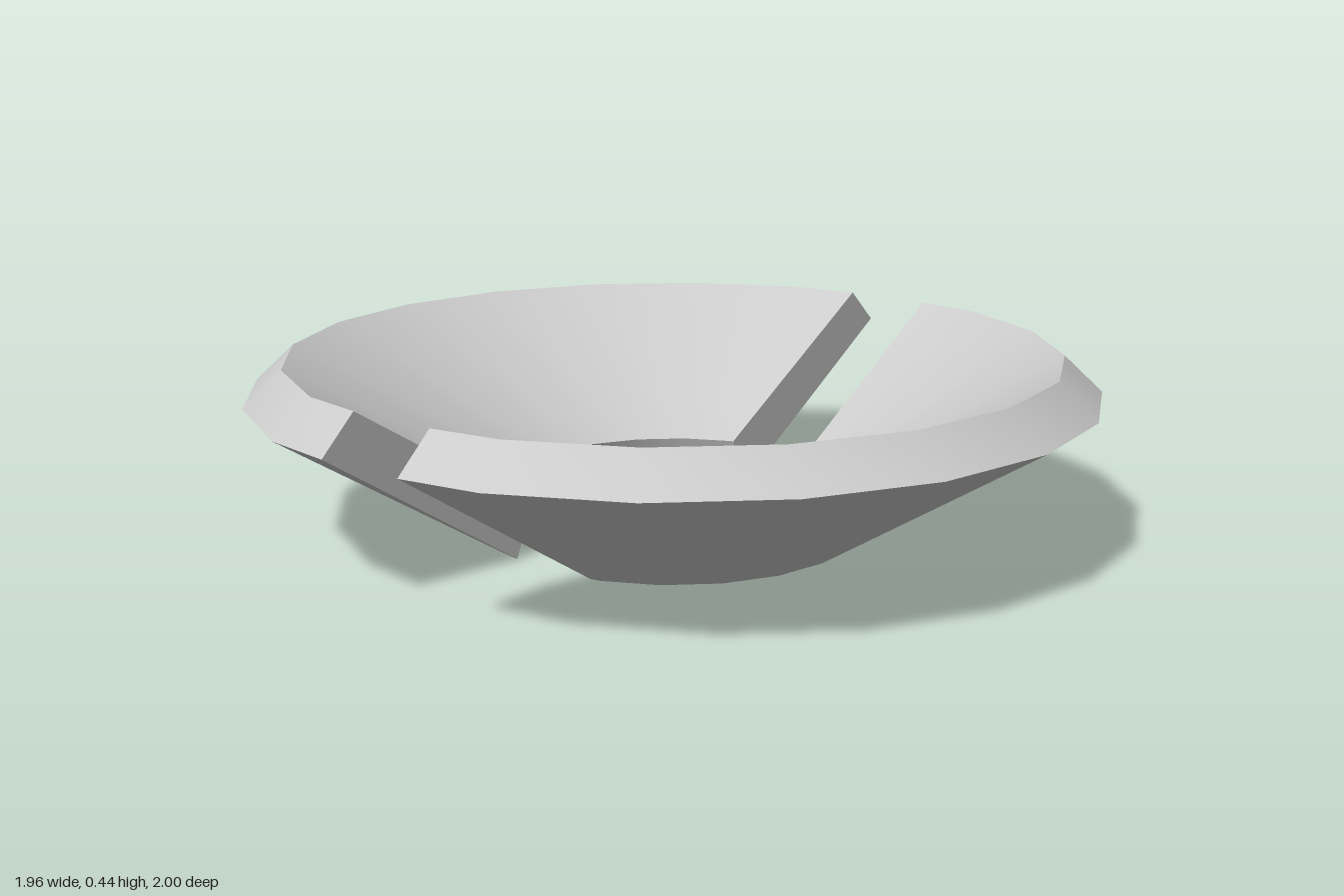
import * as THREE from 'three';
import { mergeGeometries } from 'three/addons/utils/BufferGeometryUtils.js';

// slanted wall cross-section (radius, height), counter-clockwise
const PROFILE = [[0.44, 0], [1, 0.35], [0.91, 0.435], [0.39, 0.12]];
const STEP = Math.PI / 10; // 20-sided ring
const CUT = 0.113; // half width of the gap

function makeGeometry(points, index) {
  const g = new THREE.BufferGeometry();
  g.setAttribute('position', new THREE.Float32BufferAttribute(points.flat(), 3));
  g.setIndex(index);
  g.computeVertexNormals();
  return g;
}

// points of one profile ring, from the gap on the right round to the gap on the left
function ringPoints([r, y]) {
  const points = [];
  for (let i = -4; i <= 4; i++) points.push([r * Math.sin(i * STEP), y, r * Math.cos(i * STEP)]);
  // end point where the last polygon side meets the gap
  const [x, , z] = points[8];
  const endX = r + (x - r) * CUT / z;
  return [[-endX, y, CUT], ...points, [endX, y, CUT]];
}

function halfRing() {
  const rings = PROFILE.map(ringPoints);
  const n = rings[0].length;
  const parts = [];
  // four bands, smooth around the ring and sharp between each other
  rings.forEach((ring, k) => {
    const index = [];
    for (let i = 0; i < n - 1; i++) index.push(i, i + 1, n + i, i + 1, n + i + 1, n + i);
    parts.push(makeGeometry([...ring, ...rings[(k + 1) % 4]], index));
  });
  // flat cut ends
  parts.push(makeGeometry(rings.map(r => r[0]), [0, 1, 2, 0, 2, 3]));
  parts.push(makeGeometry(rings.map(r => r[n - 1]), [0, 2, 1, 0, 3, 2]));
  return mergeGeometries(parts);
}

export function createModel() {
  const group = new THREE.Group();
  group.name = 'splitConicalRing';
  const geometry = halfRing();
  const material = new THREE.MeshStandardMaterial({ color: 0xcccccc });
  ['frontHalf', 'backHalf'].forEach((name, i) => {
    const half = new THREE.Mesh(geometry, material);
    half.name = name;
    half.rotation.y = i * Math.PI;
    group.add(half);
  });
  return group;
}
